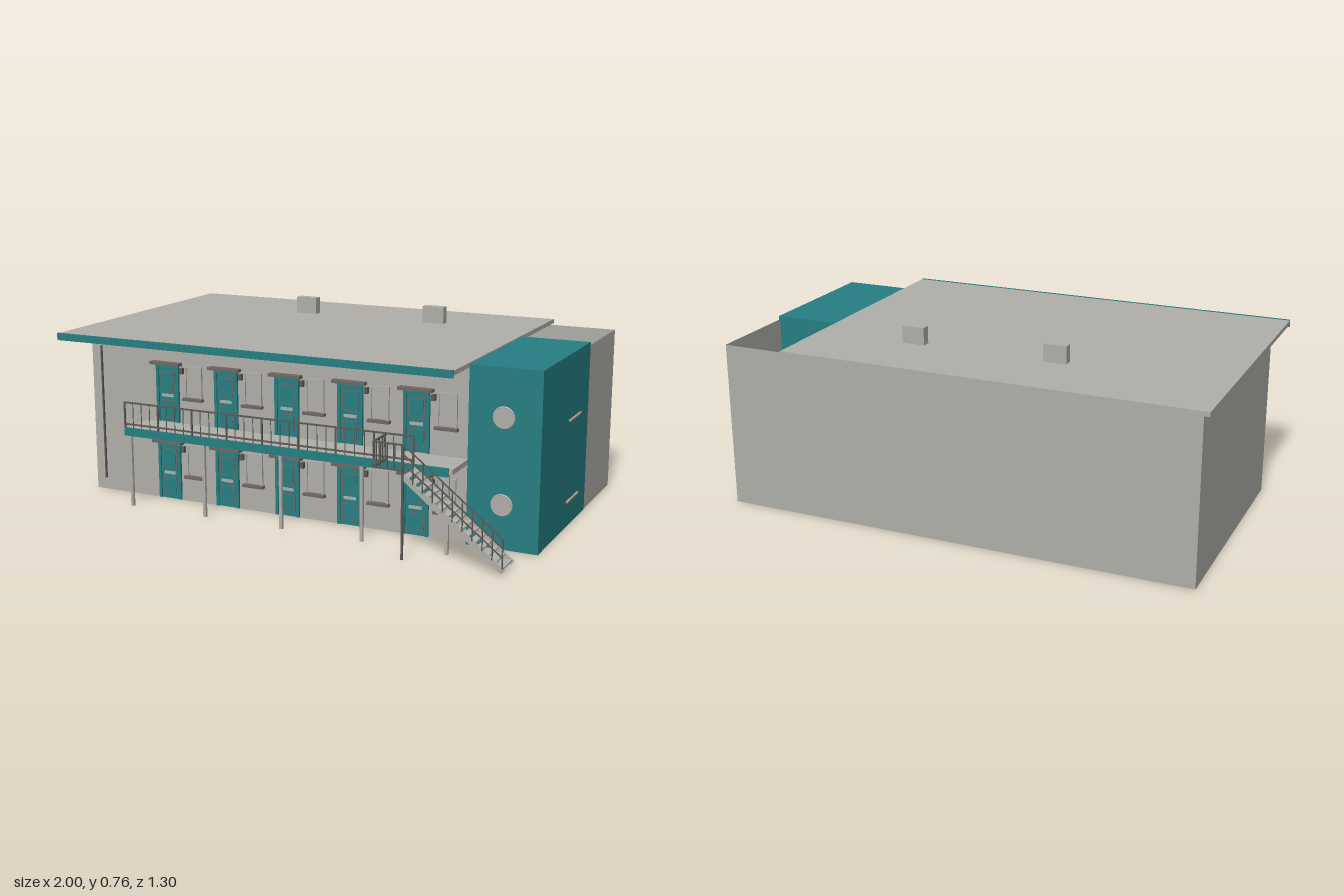
import * as THREE from 'three';

const mat = (name, color, extra = {}) => {
  const m = new THREE.MeshStandardMaterial({ color, ...extra });
  m.name = name;
  return m;
};

export function createModel() {
  const model = new THREE.Group();
  model.name = 'apartmentBlock';
  const wall = mat('wall grey', 0xb0afa9, { side: THREE.DoubleSide });
  const teal = mat('teal paint', 0x267f83);
  const metal = mat('railing grey', 0x5c5a57);
  const trim = mat('trim brown grey', 0x6e6865);
  const tan = mat('tan strip', 0xc49a86);

  // Box given by its minimum and maximum along each axis
  const box = (name, m, x0, x1, y0, y1, z0, z1, parent = model) => {
    const mesh = new THREE.Mesh(new THREE.BoxGeometry(x1 - x0, y1 - y0, z1 - z0), m);
    mesh.position.set((x0 + x1) / 2, (y0 + y1) / 2, (z0 + z1) / 2);
    mesh.name = name;
    parent.add(mesh);
    return mesh;
  };
  // Square bar between two points in a plane of constant z
  const bar = (name, m, xa, ya, xb, yb, z, t, depth, parent = model) => {
    const mesh = new THREE.Mesh(new THREE.BoxGeometry(Math.hypot(xb - xa, yb - ya), t, depth), m);
    mesh.position.set((xa + xb) / 2, (ya + yb) / 2, z);
    mesh.rotation.z = Math.atan2(yb - ya, xb - xa);
    mesh.name = name;
    parent.add(mesh);
  };
  // Single-sheet wall
  const sheet = (name, w, h, x, y, z, turn) => {
    const mesh = new THREE.Mesh(new THREE.PlaneGeometry(w, h), wall);
    mesh.position.set(x, y, z);
    mesh.rotation.y = turn;
    mesh.name = name;
    model.add(mesh);
  };

  // Hollow shell, open at top and bottom
  const F = 0.365, B = -0.613, L = -0.968, R = 0.986, H = 0.676;
  sheet('frontWall', 0.71 - L, H, (0.71 + L) / 2, H / 2, F, 0);
  sheet('backWall', R - L, H, (R + L) / 2, H / 2, B, Math.PI);
  sheet('rightEndWall', F - B, H, L, H / 2, (F + B) / 2, -Math.PI / 2);
  sheet('leftEndWall', -0.22 - B, H, R, H / 2, (B - 0.22) / 2, Math.PI / 2);

  // Roof, fascia and chimneys
  box('roof', wall, -1, 0.71, 0.677, 0.695, -0.65, 0.548);
  box('roofFascia', teal, -1, 0.71, 0.668, 0.697, 0.548, 0.556);
  for (const x of [-0.317, 0.28]) box('chimney', wall, x - 0.047, x + 0.047, 0.695, 0.765, -0.364, -0.327);

  // Stair tower with round windows and side strips
  box('tower', teal, 0.71, 0.99, 0.002, 0.69, -0.222, 0.388);
  for (const y of [0.505, 0.175]) {
    const disc = new THREE.Mesh(new THREE.CylinderGeometry(0.037, 0.037, 0.012, 32), wall);
    disc.rotation.x = Math.PI / 2;
    disc.position.set(0.848, y, 0.392);
    disc.name = 'roundWindow';
    const ring = new THREE.Mesh(new THREE.TorusGeometry(0.039, 0.004, 8, 32), wall);
    ring.position.set(0.848, y, 0.394);
    ring.name = 'roundWindowFrame';
    model.add(disc, ring);
  }
  for (const y of [0.432, 0.107]) box('sideStrip', tan, 0.99, 0.998, y - 0.003, y + 0.003, -0.107, 0.045);

  // Door and window bays on two floors
  for (const y of [0, 0.328]) {
    for (let i = 0; i < 5; i++) {
      const bay = new THREE.Group();
      bay.name = 'doorBay';
      bay.position.set(-0.598 + i * 0.274, y, F);
      model.add(bay);
      box('door', teal, -0.042, 0.042, 0.002, 0.23, -0.006, 0.004, bay);
      for (const s of [-1, 1]) box('doorJamb', teal, s * 0.047 - 0.006, s * 0.047 + 0.006, 0.002, 0.238, -0.008, 0.01, bay);
      box('doorHead', teal, -0.053, 0.053, 0.226, 0.24, -0.008, 0.01, bay);
      box('doorUpperTrim', trim, -0.034, 0.034, 0.132, 0.212, 0.003, 0.006, bay);
      box('doorUpperPanel', teal, -0.029, 0.029, 0.137, 0.207, 0.004, 0.008, bay);
      box('doorLowerTrim', trim, -0.034, 0.034, 0.022, 0.092, 0.003, 0.006, bay);
      box('doorLowerPanel', teal, -0.029, 0.029, 0.026, 0.088, 0.004, 0.008, bay);
      box('letterPlate', wall, -0.027, 0.027, 0.106, 0.118, 0.003, 0.008, bay);
      box('doorCanopy', trim, -0.07, 0.068, 0.24, 0.252, 0, 0.03, bay);
      box('lamp', metal, 0.062, 0.076, 0.208, 0.232, 0, 0.016, bay);
      // Window beside the door
      box('windowPane', wall, 0.086, 0.158, 0.112, 0.236, -0.004, 0.003, bay);
      for (const x of [0.086, 0.158]) box('windowSide', wall, x - 0.004, x + 0.004, 0.108, 0.24, -0.005, 0.009, bay);
      box('windowHead', wall, 0.082, 0.162, 0.234, 0.242, -0.005, 0.009, bay);
      box('windowSill', trim, 0.076, 0.168, 0.1, 0.111, 0, 0.022, bay);
    }
  }
  box('downpipe', metal, -0.923, -0.917, 0.05, 0.62, F, F + 0.008);

  // Balcony deck, posts and railing
  box('balconyDeck', wall, -0.705, 0.705, 0.306, 0.326, F, 0.526);
  box('balconyFascia', teal, -0.705, 0.69, 0.297, 0.33, 0.524, 0.533);
  for (let i = 0; i < 5; i++) {
    const x = -0.685 + i * 0.3425;
    box('balconyPost', wall, x - 0.006, x + 0.006, 0, 0.306, 0.513, 0.525);
  }
  const railing = new THREE.Group();
  railing.name = 'balconyRailing';
  model.add(railing);
  for (const y of [0.345, 0.434]) box('rail', metal, -0.705, 0.555, y - 0.003, y + 0.003, 0.526, 0.532, railing);
  for (let i = 0; i <= 32; i++) {
    const x = -0.703 + i * 1.256 / 32, t = i % 4 ? 0.0013 : 0.003;
    box('baluster', metal, x - t, x + t, 0.33, 0.434, 0.529 - t, 0.529 + t, railing);
  }

  // Landing railing on the outer side
  const Z = 0.642;
  const landing = new THREE.Group();
  landing.name = 'landingRailing';
  model.add(landing);
  for (const y of [0.335, 0.43]) {
    box('landingRail', metal, 0.44, 0.558, y - 0.003, y + 0.003, Z - 0.003, Z + 0.003, landing);
    box('landingEndRail', metal, 0.44, 0.446, y - 0.003, y + 0.003, 0.53, Z, landing);
  }
  for (let i = 0; i <= 4; i++) {
    const x = 0.443 + i * 0.028, z = 0.532 + i * 0.0275;
    box('landingBaluster', metal, x - 0.002, x + 0.002, 0.335, 0.43, Z - 0.002, Z + 0.002, landing);
    box('landingEndBaluster', metal, 0.441, 0.445, 0.335, 0.43, z - 0.002, z + 0.002, landing);
  }
  box('landingPost', metal, 0.555, 0.563, 0, 0.43, Z - 0.004, Z + 0.004);

  // Open staircase with thin treads
  const stairs = new THREE.Group();
  stairs.name = 'staircase';
  model.add(stairs);
  for (const z of [0.533, 0.64]) bar('stringer', wall, 0.555, 0.315, 0.943, 0.012, z, 0.02, 0.006, stairs);
  const steps = 15;
  for (let i = 0; i < steps; i++) {
    const x = 0.57 + i * 0.0255, y = 0.31 - i * 0.0205;
    box('tread', wall, x - 0.0145, x + 0.0145, y - 0.003, y + 0.003, 0.533, 0.64, stairs);
  }
  for (const h of [0.045, 0.08, 0.115]) bar('handrail', metal, 0.558, 0.318 + h, 0.943, 0.018 + h, Z, 0.004, 0.005, stairs);
  for (let i = 0; i <= 10; i++) {
    const x = 0.56 + i * 0.038, y = 0.318 - i * 0.0296;
    box('stairBaluster', metal, x - 0.002, x + 0.002, y, y + 0.115, Z - 0.002, Z + 0.002, stairs);
  }
  return model;
}
